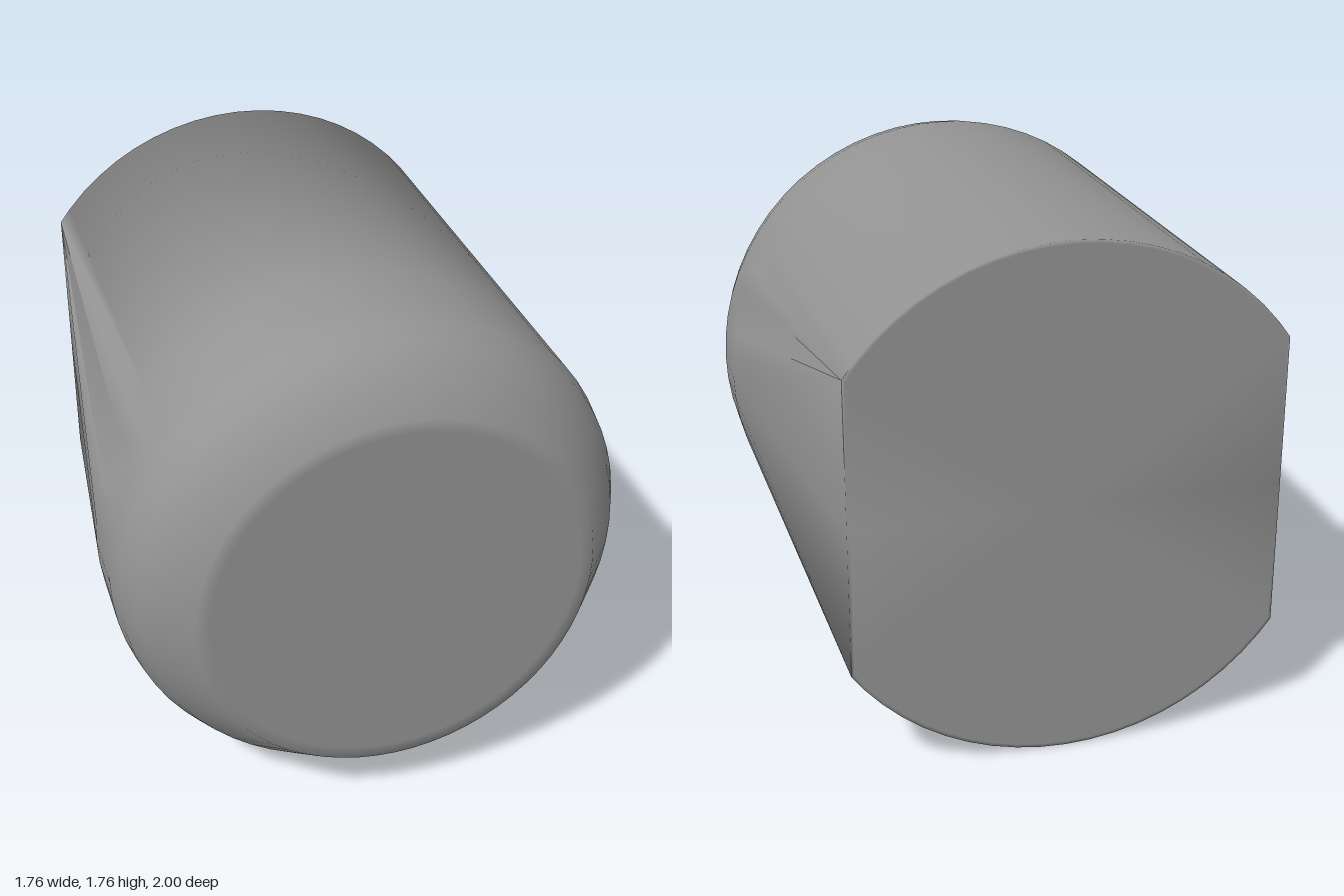
import * as THREE from 'three';
import { toCreasedNormals } from 'three/addons/utils/BufferGeometryUtils.js';

const RADIUS = 0.88;    // full barrel radius
const BACK_HALF = 0.72; // half width at the back face
const SEGMENTS = 64;

// [radius, z] from the back face to the front face
const PROFILE = [
  [0, -1], [0.868, -1], [RADIUS, -1],                            // back face and rim
  [RADIUS, 0.42], [RADIUS, 0.65],                                // straight barrel
  [0.865, 0.73], [0.825, 0.81], [0.675, 1], [0.63, 1], [0, 1],   // chamfered nose and front face
];

// round barrel whose sides run from the full circle to straight edges at the back
function barrelGeometry() {
  const points = PROFILE.map(([r, z]) => new THREE.Vector2(r, z));
  const geometry = new THREE.LatheGeometry(points, SEGMENTS);
  geometry.rotateX(Math.PI / 2); // lathe axis now runs back to front

  // gather the side points of the back face into the corners of its straight edges
  const pos = geometry.attributes.position;
  for (let i = 0; i < pos.count; i++) {
    const x = pos.getX(i);
    const y = pos.getY(i);
    const r = Math.hypot(x, y);
    const limit = (BACK_HALF * r) / RADIUS;
    if (pos.getZ(i) > -0.999 || Math.abs(x) <= limit) continue;
    const corner = Math.sqrt(r * r - limit * limit);
    pos.setX(i, Math.sign(x) * limit);
    pos.setY(i, Math.abs(y) < 1e-6 ? 0 : Math.sign(y) * corner);
  }
  geometry.translate(0, RADIUS, 0);
  return toCreasedNormals(geometry, Math.PI); // soft shading across every rim
}

export function createModel() {
  const group = new THREE.Group();
  group.name = 'taperedBarrel';
  const material = new THREE.MeshStandardMaterial({ color: 0x949494 });
  const barrel = new THREE.Mesh(barrelGeometry(), material);
  barrel.name = 'barrel';
  group.add(barrel);
  return group;
}
